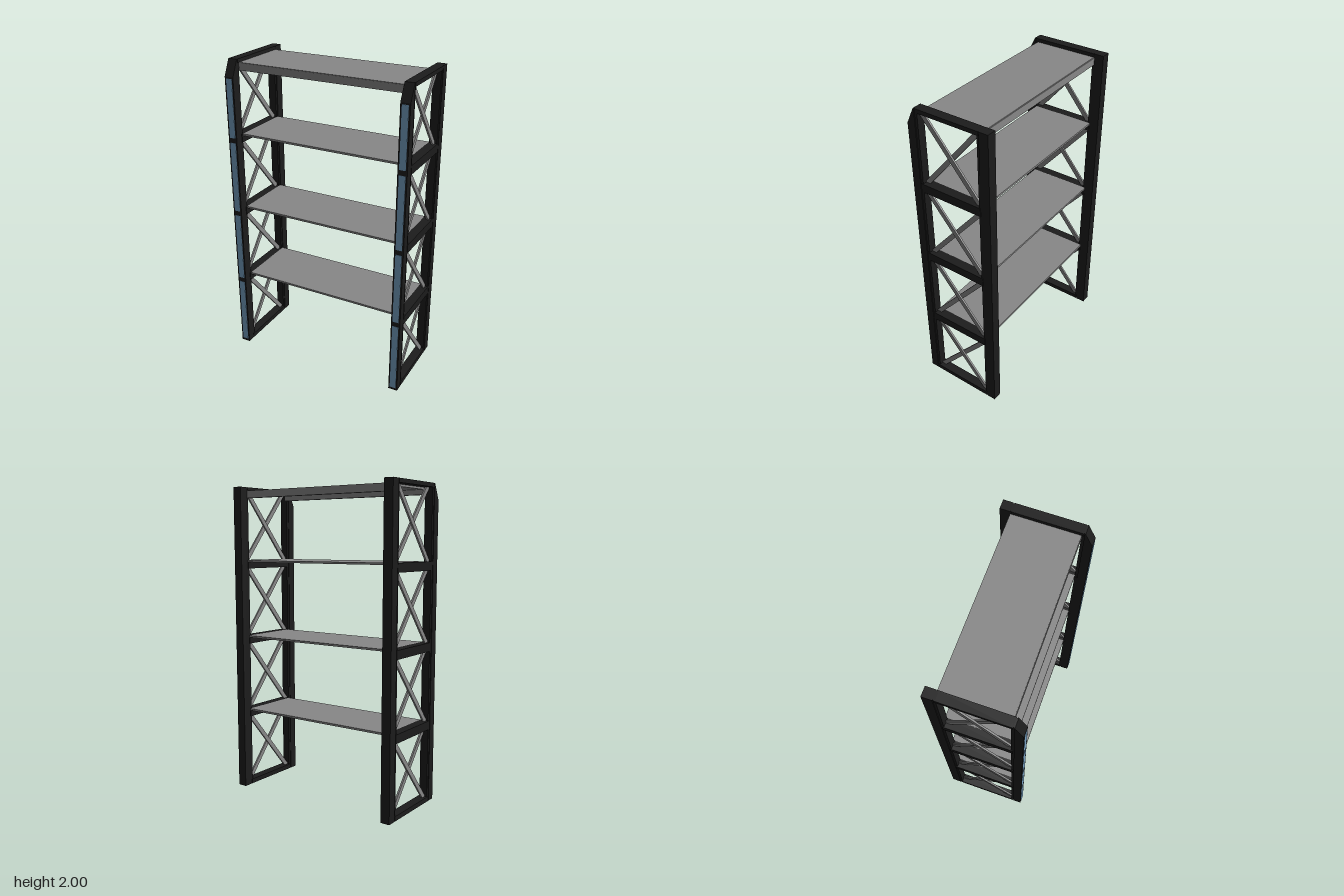
import * as THREE from 'three';

const mat = (color) => new THREE.MeshStandardMaterial({ color });

export function createModel() {
  const model = new THREE.Group();
  const black = mat(0x1c1c1c), grey = mat(0x888888), blue = mat(0x76a0c2);

  const add = (parent, name, geometry, material) => {
    const mesh = new THREE.Mesh(geometry, material);
    mesh.name = name;
    parent.add(mesh);
    return mesh;
  };
  // Box given by its minimum and maximum on each axis
  const box = (parent, name, material, [x0, x1], [y0, y1], [z0, z1]) => {
    const mesh = add(parent, name, new THREE.BoxGeometry(x1 - x0, y1 - y0, z1 - z0), material);
    mesh.position.set((x0 + x1) / 2, (y0 + y1) / 2, (z0 + z1) / 2);
    return mesh;
  };

  const rails = [[0, 0.03], [0.475, 0.53], [0.975, 1.03], [1.475, 1.53], [1.975, 2]];
  const half = 0.03; // half the width of an upright

  for (const side of [-1, 1]) {
    const frame = new THREE.Group();
    frame.name = side > 0 ? 'leftSideFrame' : 'rightSideFrame';
    frame.position.x = side * 0.57;
    model.add(frame);

    // Front upright with a bevelled top: profile in (z, y), extruded across x
    const profile = new THREE.Shape([[0.215, 0], [0.268, 0], [0.268, 1.9], [0.22, 2], [0.215, 2]]
      .map(([z, y]) => new THREE.Vector2(z, y)));
    const upright = new THREE.ExtrudeGeometry(profile, { depth: 2 * half, bevelEnabled: false });
    upright.translate(0, 0, -half).rotateY(-Math.PI / 2);
    add(frame, 'frontUpright', upright, black);
    box(frame, 'rearUpright', black, [-half, half], [0, 2], [-0.27, -0.21]);

    // Slightly narrower strips lining the inside of the uprights
    box(frame, 'frontLiner', black, [-0.026, 0.026], [0, 2], [0.198, 0.216]);
    box(frame, 'rearLiner', black, [-0.026, 0.026], [0, 2], [-0.211, -0.195]);

    // Rails joining the uprights
    for (const y of rails) box(frame, 'rail', black, [-half, half], y, [-0.205, 0.21]);

    for (let i = 0; i < 4; i++) {
      // Coloured panels on the front face
      const top = i < 3 ? 0.5 * i + 0.485 : 1.89;
      box(frame, 'frontPanel', blue, [-0.02, 0.02], [0.5 * i + 0.017, top], [0.26, 0.27]);

      // Crossed braces in each bay
      const y0 = rails[i][1] - 0.01, y1 = rails[i + 1][0] + 0.01;
      const length = Math.hypot(y1 - y0, 0.39);
      for (const s of [-1, 1]) {
        const brace = add(frame, 'crossBrace', new THREE.BoxGeometry(0.012, length, 0.03), grey);
        brace.position.set(s * 0.005, (y0 + y1) / 2, 0);
        brace.rotation.x = s * Math.atan2(0.39, y1 - y0);
      }
    }
  }

  // Thin shelves
  for (const y of [0.53, 1.03, 1.53]) {
    box(model, 'shelf', grey, [-0.542, 0.542], [y - 0.013, y], [-0.21, 0.2]);
  }

  // Top shelf with a beam along its front and rear edges
  box(model, 'topShelf', grey, [-0.542, 0.542], [1.962, 1.978], [-0.205, 0.198]);
  box(model, 'topFrontBeam', grey, [-0.542, 0.542], [1.93, 1.975], [0.175, 0.2]);
  box(model, 'topRearBeam', grey, [-0.542, 0.542], [1.93, 1.975], [-0.21, -0.185]);

  return model;
}
